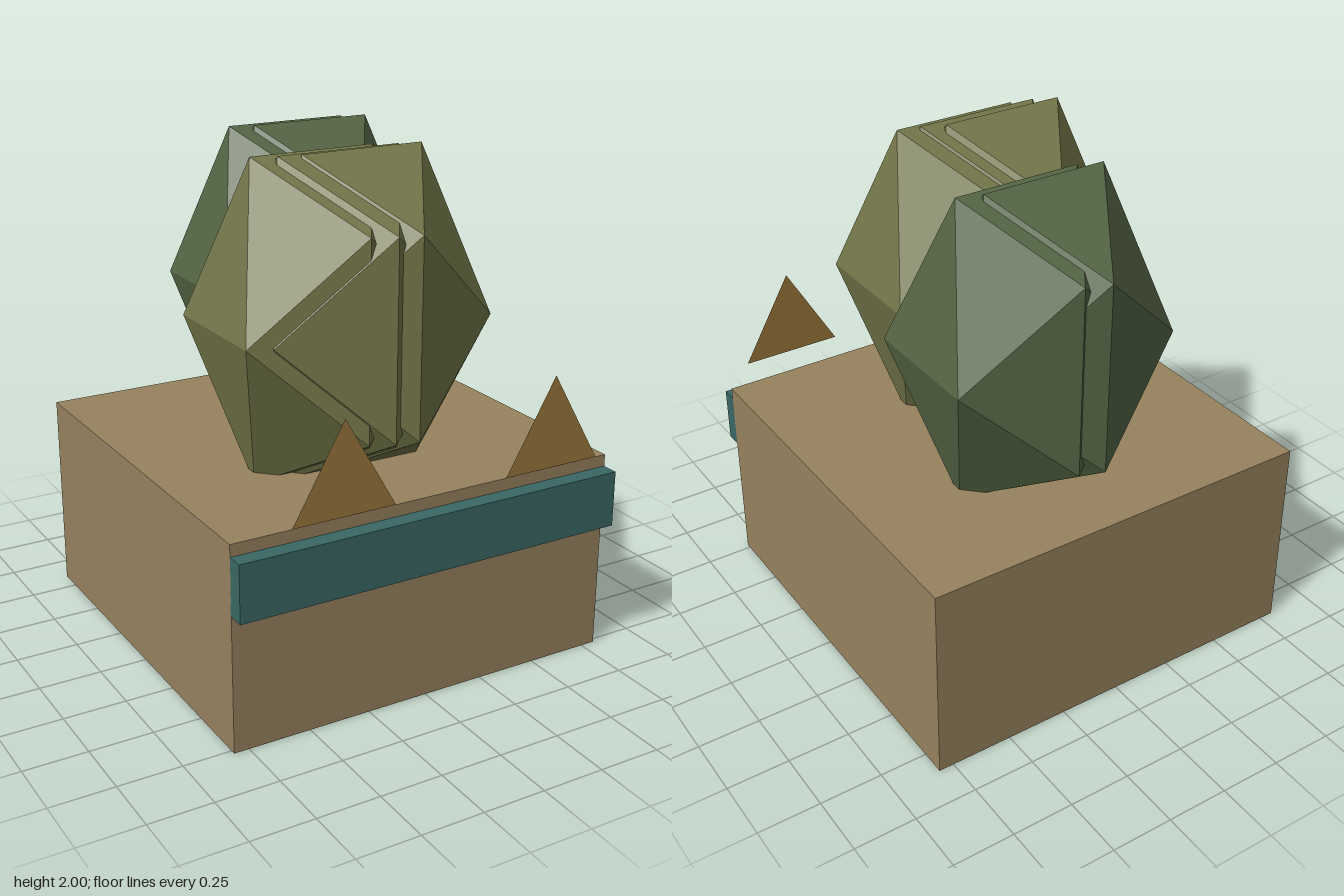
import * as THREE from 'three';

const paint = (color, extra = {}) => new THREE.MeshStandardMaterial({ color, ...extra });

function addMesh(parent, name, geometry, material, x, y, z) {
  const mesh = new THREE.Mesh(geometry, material);
  mesh.name = name;
  mesh.position.set(x, y, z);
  parent.add(mesh);
  return mesh;
}

// A plant is a cluster of overlapping, upright-stretched icosahedra
function createPlant(name, color, centres) {
  const plant = new THREE.Group();
  plant.name = name;
  const geometry = new THREE.IcosahedronGeometry(0.482, 0);
  geometry.scale(1, 1.512, 1);
  const material = paint(color, { flatShading: true });
  centres.forEach(([x, z], i) => addMesh(plant, `${name}Lobe${i + 1}`, geometry, material, x, 1.38, z));
  return plant;
}

export function createModel() {
  const model = new THREE.Group();
  model.name = 'planter';

  // Planter box with a band across the front
  addMesh(model, 'planterBox', new THREE.BoxGeometry(1.62, 0.813, 1.62), paint(0x96825f), 0, 0.4065, -0.04);
  addMesh(model, 'frontBand', new THREE.BoxGeometry(1.62, 0.225, 0.07), paint(0x3a6865), 0, 0.6525, 0.802);

  // Two faceted plants, front and back
  model.add(createPlant('frontPlant', 0x74774a, [[-0.18, 0.23], [-0.09, 0.268], [0, 0.285]]));
  model.add(createPlant('backPlant', 0x556645, [[0.04, -0.365], [0.135, -0.335]]));

  // Flat triangular ornaments at the front
  const triangle = new THREE.CircleGeometry(0.24, 3, Math.PI / 2);
  const ochre = paint(0x9c7a3c, { side: THREE.DoubleSide });
  addMesh(model, 'rightTriangle', triangle, ochre, -0.406, 0.975, 0.85);
  addMesh(model, 'leftTriangle', triangle, ochre, 0.486, 0.975, 0.85);

  return model;
}
